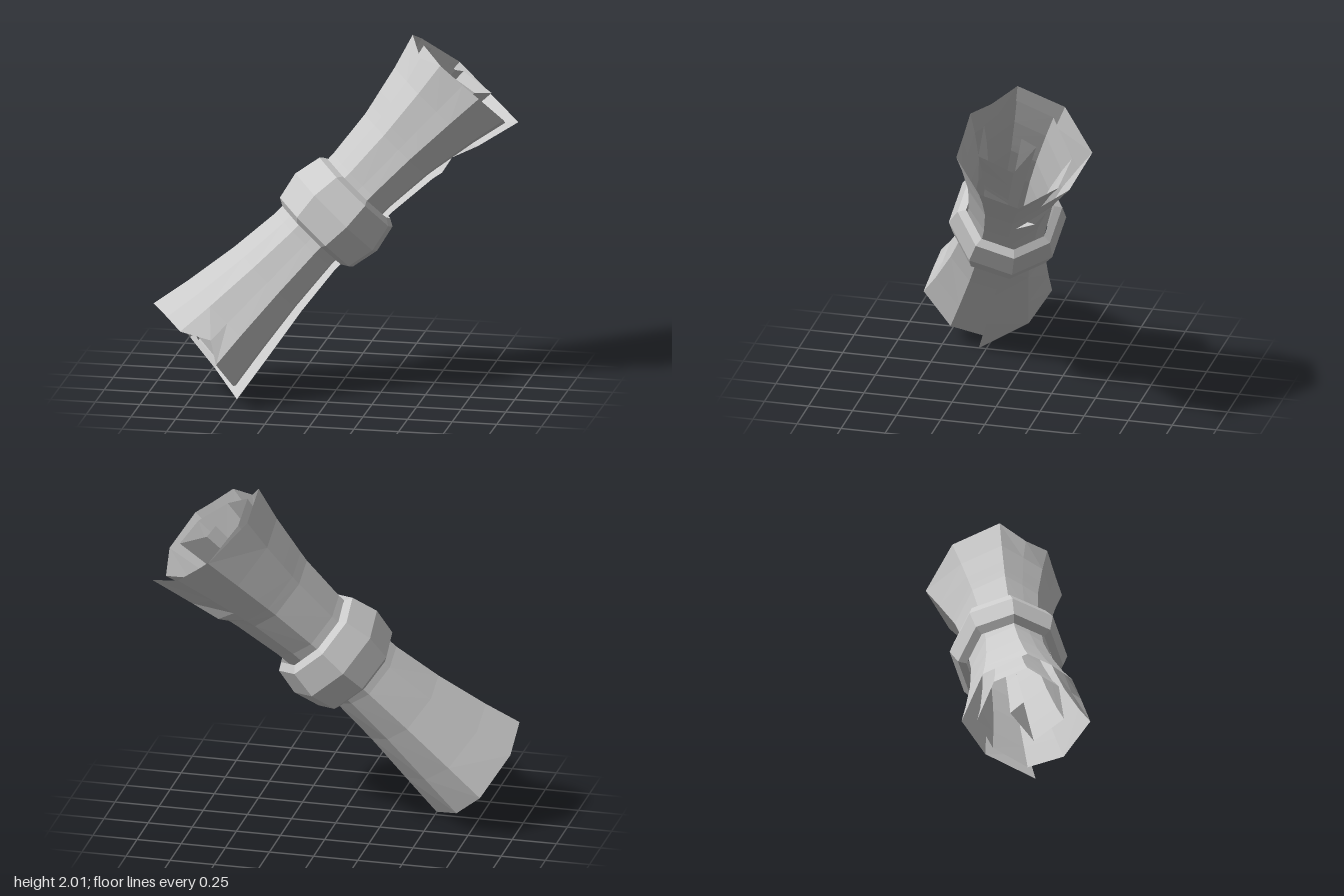
import * as THREE from 'three';

const UP = new THREE.Vector3(0.662, 0.702, -0.261).normalize(); // roll axis
const CENTRE_Y = 1.02;

// Spiral section, outer edge to inner edge:
// angle (deg), radius at top / bottom end, height of top / bottom end
const SPIRAL = [
  [348, 0.378, 0.335, 1.05, -1.12],
  [300, 0.33, 0.28, 1.04, -1.1],
  [258, 0.378, 0.34, 1.04, -1.08],
  [208, 0.37, 0.35, 1.0, -1.065],
  [165, 0.405, 0.38, 1.0, -1.056],
  [141, 0.357, 0.345, 0.945, -1.05],
  [118, 0.373, 0.35, 1.0, -1.05],
  [92, 0.345, 0.335, 1.01, -0.965],
  [74, 0.373, 0.374, 1.02, -1.04],
  [34, 0.35, 0.315, 1.02, -1.07],
  [-6, 0.32, 0.28, 1.0, -1.07],
  [-56, 0.27, 0.235, 1.0, -1.05],
  [-98, 0.27, 0.25, 1.0, -1.02],
  [-154, 0.28, 0.26, 1.0, -1.02],
  [-197, 0.32, 0.28, 1.0, -1.0],
  [-242, 0.275, 0.26, 0.99, -1.0],
  [-286, 0.25, 0.23, 1.02, -1.02],
  [-347, 0.15, 0.15, 1.07, -1.04],
  [-485, 0.075, 0.075, 1.04, -1.04],
  [-558, 0.088, 0.088, 1.02, -1.02],
];

// Rows along the roll: fraction of the half length, radius factor, outer edge turn (tear)
const ROWS = [
  [-1, 1, 12], [-0.8, 0.87, 10], [-0.5, 0.72, 7], [-0.22, 0.63, 4],
  [0.22, 0.63, 0], [0.5, 0.7, 0], [0.56, 0.73, 2], [0.65, 0.78, -18],
  [0.8, 0.86, -6], [1, 1, 0],
];

// Thin sheet rolled into a spiral, pinched in the middle and flared at both ends
function sheetGeometry() {
  const pos = [], index = [], n = SPIRAL.length;
  ROWS.forEach(([f, k, turn], row) => {
    SPIRAL.forEach(([deg, rTop, rBottom, top, bottom], i) => {
      const a = THREE.MathUtils.degToRad(deg + (i === 0 ? turn : 0));
      const r = k * THREE.MathUtils.lerp(rBottom, rTop, (f + 1) / 2);
      const isEnd = Math.abs(f) === 1;
      const y = isEnd ? (f > 0 ? top : bottom) : f * (f > 0 ? 1 : 1.05);
      pos.push(r * Math.cos(a), y, r * Math.sin(a));
      if (row && i) {
        const d = row * n + i, c = d - 1, b = d - n, e = b - 1;
        index.push(e, c, b, b, c, d);
      }
    });
  });
  const g = new THREE.BufferGeometry();
  g.setAttribute('position', new THREE.Float32BufferAttribute(pos, 3));
  g.setIndex(index);
  g.computeVertexNormals();
  return g;
}

// Eight-sided bulging band with bevelled rims
function bandGeometry() {
  const profile = [
    [0.245, -0.18], [0.29, -0.155], [0.325, 0], [0.29, 0.155], [0.245, 0.18], [0.245, -0.18],
  ].map(([r, y]) => new THREE.Vector2(r, y));
  return new THREE.LatheGeometry(profile, 8, THREE.MathUtils.degToRad(15));
}

export function createModel() {
  const model = new THREE.Group();
  model.name = 'rolledScroll';

  // Tilted frame holding both parts
  const roll = new THREE.Group();
  roll.name = 'tiltedRoll';
  const across = new THREE.Vector3(UP.y, -UP.x, 0).normalize();
  const forward = new THREE.Vector3().crossVectors(across, UP);
  roll.quaternion.setFromRotationMatrix(new THREE.Matrix4().makeBasis(across, UP, forward));
  roll.position.y = CENTRE_Y;
  model.add(roll);

  const add = (name, geometry, side) => {
    const material = new THREE.MeshStandardMaterial({ color: 0xcccccc, flatShading: true, side });
    const mesh = new THREE.Mesh(geometry, material);
    mesh.name = name;
    roll.add(mesh);
  };
  add('paperSheet', sheetGeometry(), THREE.DoubleSide);
  add('bindingRing', bandGeometry(), THREE.FrontSide);
  return model;
}
